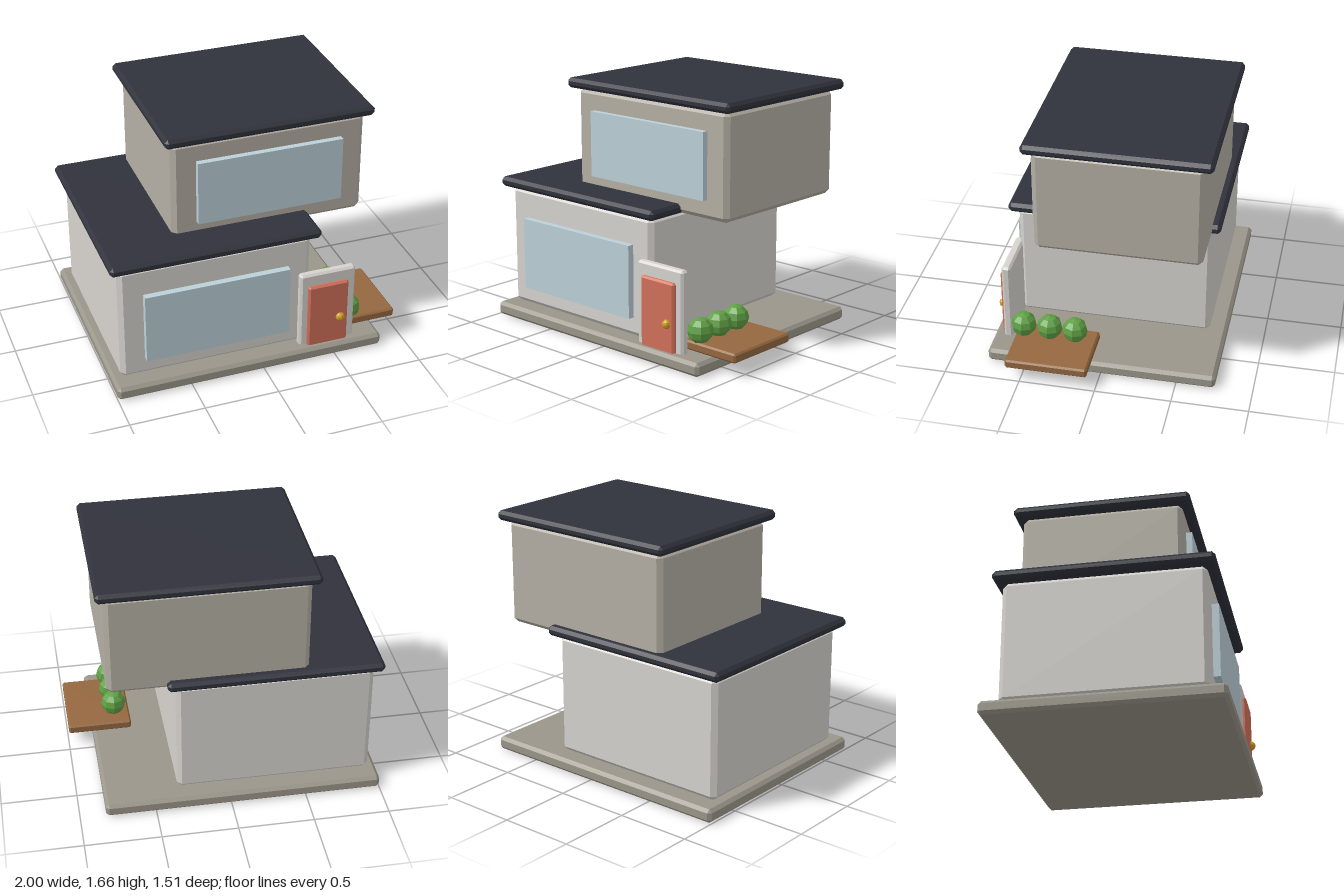
import * as THREE from 'three';
import { ConvexGeometry } from 'three/addons/geometries/ConvexGeometry.js';

const mat = (color) => new THREE.MeshStandardMaterial({ color, flatShading: true });

// Box between two limits on each axis, with all edges chamfered by c
function chamferBox([x0, x1], [y0, y1], [z0, z1], c) {
  const half = [(x1 - x0) / 2, (y1 - y0) / 2, (z1 - z0) / 2];
  const points = [];
  for (const sx of [-1, 1]) for (const sy of [-1, 1]) for (const sz of [-1, 1]) {
    for (let axis = 0; axis < 3; axis++) {
      const p = half.map((h, i) => (i === axis ? h : h - c));
      points.push(new THREE.Vector3(sx * p[0], sy * p[1], sz * p[2]));
    }
  }
  return new ConvexGeometry(points).translate((x0 + x1) / 2, (y0 + y1) / 2, (z0 + z1) / 2);
}

function plainBox([x0, x1], [y0, y1], [z0, z1]) {
  return new THREE.BoxGeometry(x1 - x0, y1 - y0, z1 - z0)
    .translate((x0 + x1) / 2, (y0 + y1) / 2, (z0 + z1) / 2);
}

export function createModel() {
  const group = new THREE.Group();
  const add = (name, geometry, material) => {
    const mesh = new THREE.Mesh(geometry, material);
    mesh.name = name;
    group.add(mesh);
    return mesh;
  };

  const stone = mat(0x9b968a);
  const plaster = mat(0xd6d3ce);
  const taupe = mat(0xb4afa4);
  const slate = mat(0x30323c);
  const glass = mat(0xbcd0d8);
  const red = mat(0xd1705a);
  const wood = mat(0x95683f);
  const leaf = mat(0x5fa045);
  const brass = mat(0xd0a020);

  // Foundation and the two stacked storeys
  add('foundation', chamferBox([-1, 0.83], [0, 0.09], [-0.755, 0.755], 0.021), stone);
  add('lowerStorey', chamferBox([-0.945, 0.345], [0.09, 0.9], [-0.645, 0.645], 0.031), plaster);
  add('lowerRoof', chamferBox([-1, 0.4], [0.9, 0.965], [-0.7, 0.7], 0.021), slate);
  add('upperStorey', chamferBox([-0.515, 0.78], [0.9, 1.6], [-0.645, 0.43], 0.031), taupe);
  add('upperRoof', chamferBox([-0.565, 0.83], [1.6, 1.665], [-0.7, 0.485], 0.021), slate);

  // Windows
  add('lowerWindow', plainBox([-0.785, 0.19], [0.22, 0.705], [0.62, 0.69]), glass);
  add('upperWindow', plainBox([-0.355, 0.62], [1.03, 1.465], [0.4, 0.47]), glass);

  // Entrance
  add('doorFrame', chamferBox([0.265, 0.65], [0.02, 0.63], [0.63, 0.69], 0.014), plaster);
  add('door', chamferBox([0.315, 0.595], [0.01, 0.545], [0.66, 0.715], 0.012), red);
  const knob = add('doorKnob', new THREE.SphereGeometry(0.031, 8, 6), brass);
  knob.position.set(0.54, 0.275, 0.715);

  // Planter with a row of bushes
  add('planter', chamferBox([0.565, 0.995], [0.09, 0.152], [0.055, 0.595], 0.011), wood);
  [0.545, 0.37, 0.2].forEach((z, i) => {
    const bush = add('bush' + (i + 1), new THREE.SphereGeometry(0.085, 8, 6), leaf);
    bush.position.set(0.67, 0.22, z);
  });

  return group;
}
